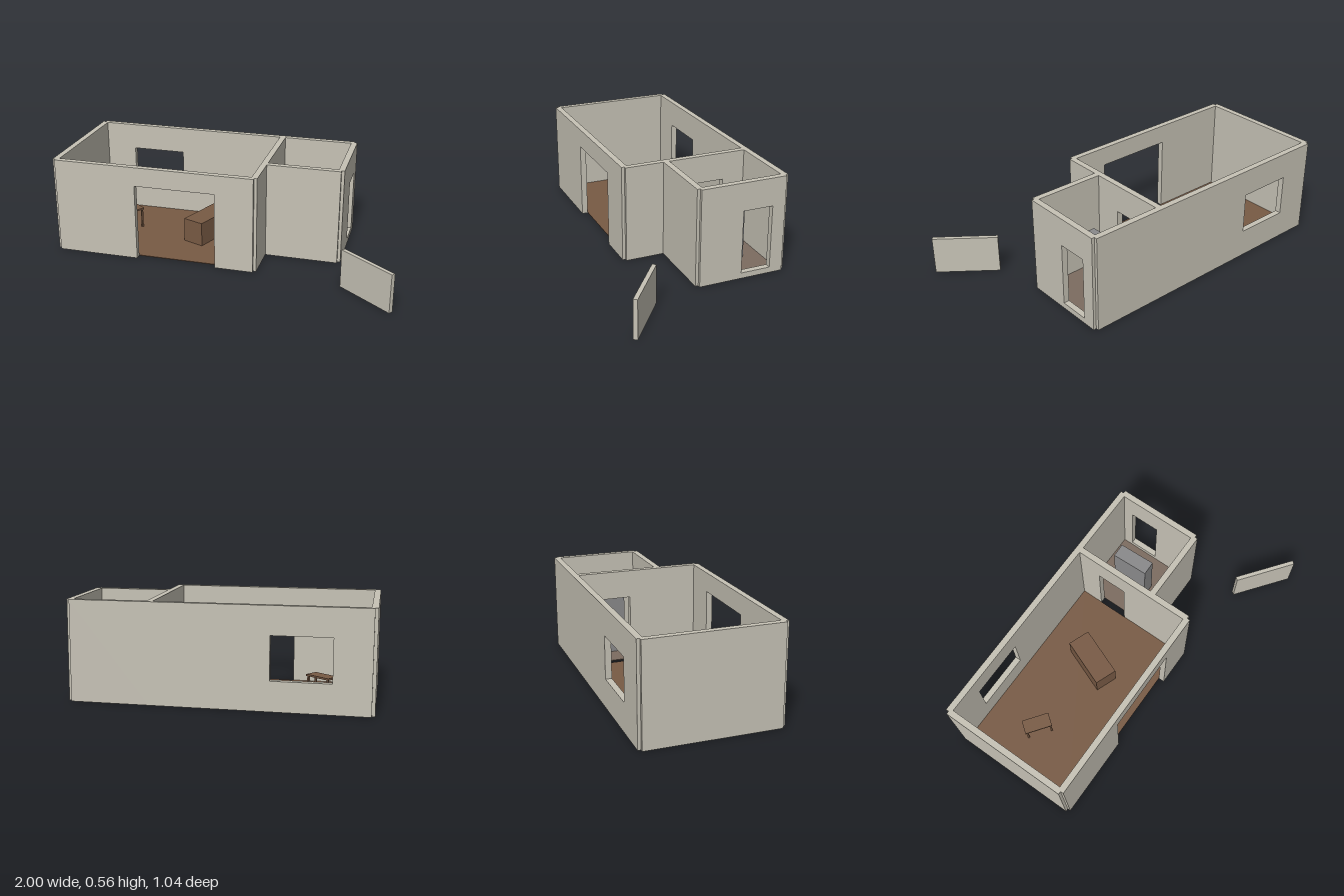
import * as THREE from 'three';

const wallMat = new THREE.MeshStandardMaterial({ color: 0xc6c2b5 });
wallMat.name = 'plaster';
const woodMat = new THREE.MeshStandardMaterial({ color: 0x785a44 });
woodMat.name = 'brown wood';
const annexFloorMat = new THREE.MeshStandardMaterial({ color: 0x7c6c60 });
annexFloorMat.name = 'grey brown floor';
const greyMat = new THREE.MeshStandardMaterial({ color: 0x8a8a8b });
greyMat.name = 'grey';

const HEIGHT = 0.562, THICK = 0.035;
// wall centre lines
const X0 = -0.982, X1 = 0.193, X2 = 0.633;
const Z0 = -0.502, Z1 = 0.0, Z2 = 0.243;

function box(name, w, h, d, x, y, z, mat, turn = 0) {
  const mesh = new THREE.Mesh(new THREE.BoxGeometry(w, h, d), mat);
  mesh.name = name;
  mesh.position.set(x, y + h / 2, z); // y is the underside
  mesh.rotation.y = turn;
  return mesh;
}

// Wall along x or z from a to b; openings are [from, to, bottom, top]
function wall(name, axis, a, b, at, openings = []) {
  const shape = new THREE.Shape();
  shape.moveTo(a, 0);
  for (const [from, to, bottom, top] of openings) {
    if (bottom > 0) {
      const hole = new THREE.Path();
      hole.moveTo(from, bottom);
      hole.lineTo(from, top);
      hole.lineTo(to, top);
      hole.lineTo(to, bottom);
      hole.closePath();
      shape.holes.push(hole);
    } else {
      shape.lineTo(from, 0);
      shape.lineTo(from, top);
      shape.lineTo(to, top);
      shape.lineTo(to, 0);
    }
  }
  shape.lineTo(b, 0);
  shape.lineTo(b, HEIGHT);
  shape.lineTo(a, HEIGHT);
  shape.closePath();
  const geo = new THREE.ExtrudeGeometry(shape, { depth: THICK, bevelEnabled: false });
  geo.translate(0, 0, -THICK / 2);
  if (axis === 'z') geo.rotateY(-Math.PI / 2); // shape x becomes world z
  const mesh = new THREE.Mesh(geo, wallMat);
  mesh.name = name;
  if (axis === 'z') mesh.position.x = at;
  else mesh.position.z = at;
  return mesh;
}

// Floor plate filling the space between wall centre lines
function floor(name, xa, xb, za, zb, mat) {
  return box(name, xb - xa - THICK, 0.004, zb - za - THICK, (xa + xb) / 2, 0, (za + zb) / 2, mat);
}

function createTable() {
  const table = new THREE.Group();
  table.name = 'table';
  table.add(box('tableTop', 0.16, 0.01, 0.081, 0, 0.12, 0, woodMat));
  for (const sx of [-1, 1])
    for (const sz of [-1, 1])
      table.add(box('tableLeg', 0.01, 0.12, 0.01, sx * 0.07, 0, sz * 0.031, woodMat));
  table.position.set(-0.7, 0.002, -0.18);
  table.rotation.y = -0.64;
  return table;
}

export function createModel() {
  const house = new THREE.Group();
  house.name = 'house';

  // main room
  house.add(
    wall('frontWall', 'x', X0, X1, Z2, [[-0.5, -0.03, 0, 0.45]]),
    wall('backWall', 'x', X0, X1, Z0, [[-0.78, -0.455, 0.165, 0.405]]),
    wall('rightWall', 'z', Z0, Z2, X0),
    wall('dividingWall', 'z', Z0, Z2, X1, [[-0.353, -0.178, 0, 0.402]]),
    floor('mainFloor', X0, X1, Z0, Z2, woodMat)
  );

  // side room
  house.add(
    wall('annexFrontWall', 'x', X1, X2, Z1),
    wall('annexBackWall', 'x', X1, X2, Z0),
    wall('annexSideWall', 'z', Z0, Z1, X2, [[-0.425, -0.25, 0.033, 0.4]]),
    floor('annexFloor', X1, X2, Z0, Z1, annexFloorMat)
  );

  // furniture
  house.add(
    createTable(),
    box('chest', 0.133, 0.147, 0.298, -0.19, 0.002, -0.152, woodMat, -0.37),
    box('cabinet', 0.083, 0.343, 0.218, 0.4, 0.003, -0.267, greyMat, 0.03)
  );

  // free-standing panel outside
  house.add(box('outdoorPanel', 0.367, 0.222, 0.024, 0.847, 0, 0.398, wallMat, -0.656));

  return house;
}
